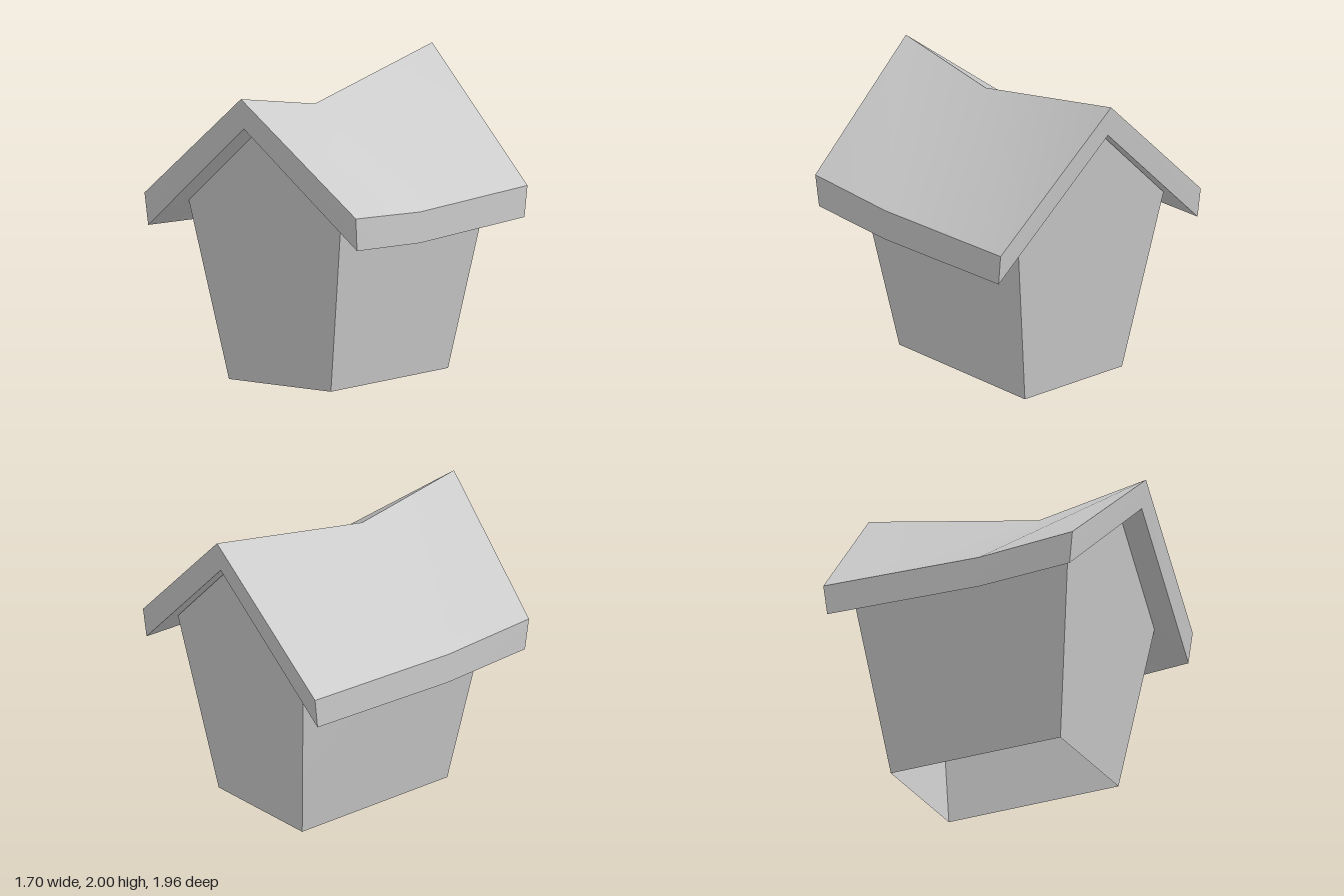
import * as THREE from 'three';
import { toCreasedNormals } from 'three/addons/utils/BufferGeometryUtils.js';

const material = new THREE.MeshStandardMaterial({ color: 0xcccccc, side: THREE.DoubleSide });

// Mesh from corner points and polygons (each fanned into triangles)
function polyMesh(name, points, polygons) {
  const index = [];
  for (const p of polygons) {
    for (let i = 1; i < p.length - 1; i++) index.push(p[0], p[i], p[i + 1]);
  }
  const geometry = new THREE.BufferGeometry();
  geometry.setAttribute('position', new THREE.Float32BufferAttribute(points.flat(), 3));
  geometry.setIndex(index);
  const mesh = new THREE.Mesh(toCreasedNormals(geometry, 0.5), material);
  mesh.name = name;
  return mesh;
}

// Sagging roof: a thick chevron lofted through front, middle and back sections
function createRoof() {
  // ridge top, eave top, eave bottom, ridge bottom as [x, y, z]
  const sections = [
    [[0, 1.885, 0.98], [0.85, 1.19, 0.885], [0.84, 0.98, 0.86], [0, 1.69, 0.95]],
    [[0, 1.76, 0.22], [0.845, 1.15, 0.22], [0.84, 0.95, 0.22], [0, 1.565, 0.22]],
    [[0, 2, -0.98], [0.845, 1.18, -0.88], [0.84, 0.98, -0.855], [0, 1.8, -0.95]],
  ];
  const mirror = ([x, y, z]) => [-x, y, z];
  const points = sections.flatMap(([a, b, c, d]) => [a, b, c, d, mirror(c), mirror(b)]);
  const faces = [];
  for (let s = 0; s < 2; s++) {
    for (let i = 0; i < 6; i++) {
      const j = (i + 1) % 6, k = s * 6;
      // mirrored halves use mirrored diagonals
      faces.push(i < 3
        ? [k + i, k + i + 6, k + j + 6, k + j]
        : [k + j, k + i, k + i + 6, k + j + 6]);
    }
  }
  // gable ends of the slab
  faces.push([0, 3, 2, 1], [0, 5, 4, 3], [12, 13, 14, 15], [12, 15, 16, 17]);
  return polyMesh('roof', points, faces);
}

// Flared walls, open below, with pointed gables that meet the roof
function createWalls() {
  const gable = (z0, z1, z2, eave, apex) => [
    [-0.41, 0, z0], [0.41, 0, z0], [0.615, eave, z1], [0, apex, z2], [-0.615, eave, z1],
  ];
  const points = [
    ...gable(0.58, 0.735, 0.8, 1.16, 1.67),
    ...gable(-0.62, -0.785, -0.87, 1.19, 1.79),
  ];
  return polyMesh('walls', points, [
    [3, 4, 0, 1, 2], // front gable
    [8, 7, 6, 5, 9], // back gable
    [1, 6, 7, 2], // left wall
    [5, 0, 4, 9], // right wall
  ]);
}

export function createModel() {
  const model = new THREE.Group();
  model.name = 'house';
  model.add(createWalls(), createRoof());
  return model;
}
